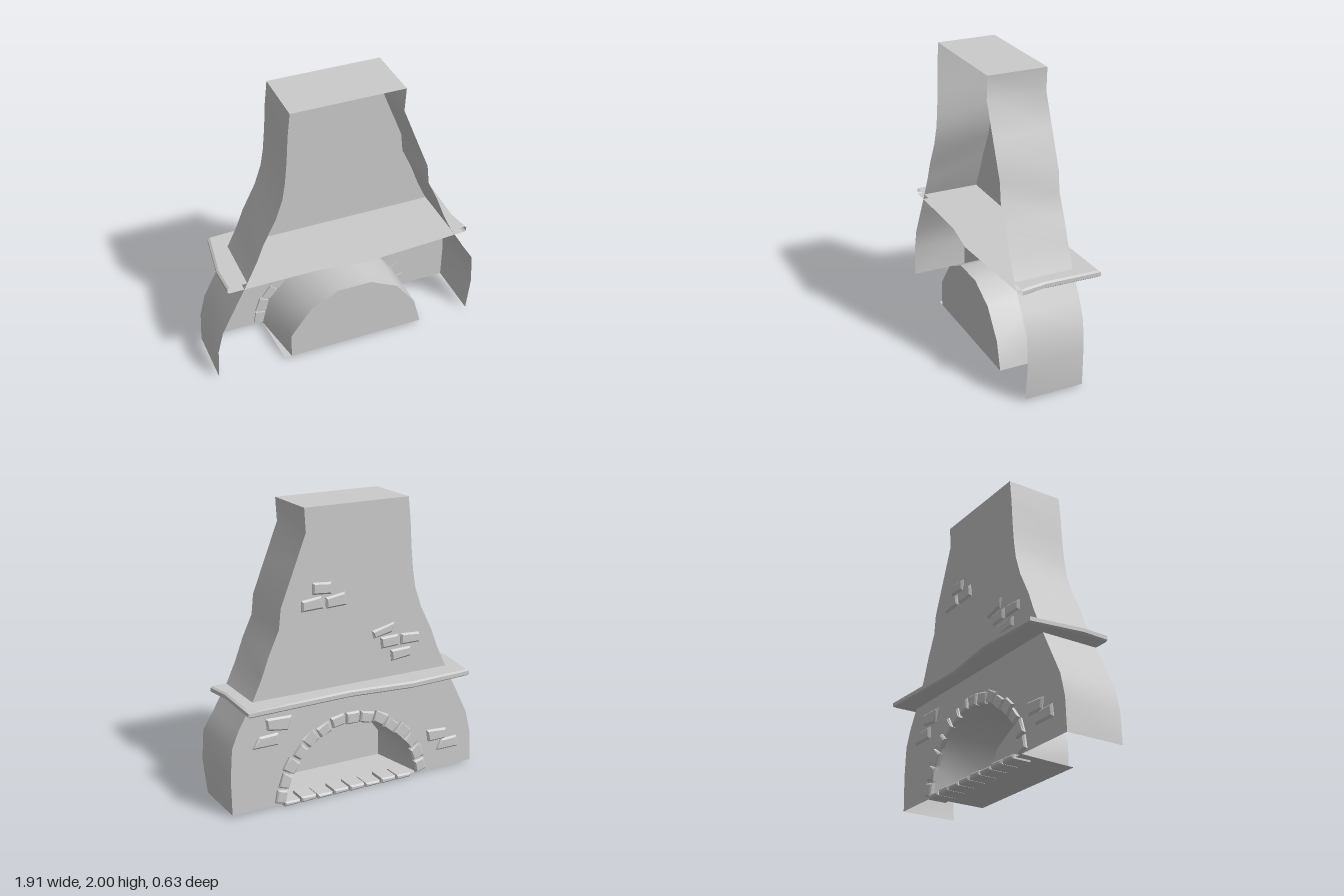
import * as THREE from 'three';
import { toCreasedNormals } from 'three/addons/utils/BufferGeometryUtils.js';

const material = new THREE.MeshStandardMaterial({ color: 0xcccccc, side: THREE.DoubleSide });
const BACK = 0.27, FRONT = -0.14, FLOOR = 0.015;

// Surface through rows of [x, y, z] points
function loft(rows, crease = 0.6) {
  const n = rows[0].length, index = [];
  for (let r = 0; r < rows.length - 1; r++) {
    for (let i = 0; i < n - 1; i++) {
      const a = r * n + i, b = a + 1, c = a + n, d = c + 1;
      index.push(a, c, b, b, c, d);
    }
  }
  const g = new THREE.BufferGeometry();
  g.setAttribute('position', new THREE.Float32BufferAttribute(rows.flat(2), 3));
  g.setIndex(index);
  return toCreasedNormals(g, crease);
}

const atZ = (pts, z) => pts.map(([x, y]) => [x, y, z]);
const flat = (pts) => new THREE.ShapeGeometry(new THREE.Shape(pts.map(([x, y]) => new THREE.Vector2(x, y))));

// Chamfered brick: an xy quad pushed from z0 out to z1
function brickGeometry(quad, z0, z1, bevel = 0.012) {
  const cx = quad.reduce((s, p) => s + p[0], 0) / 4;
  const cy = quad.reduce((s, p) => s + p[1], 0) / 4;
  const ring = [...quad, quad[0]];
  const inset = ring.map(([x, y]) => [
    x - Math.sign(x - cx) * Math.min(bevel, Math.abs(x - cx)),
    y - Math.sign(y - cy) * Math.min(bevel, Math.abs(y - cy)),
  ]);
  const middle = ring.map(() => [cx, cy]);
  return loft([atZ(middle, z0), atZ(ring, z0), atZ(ring, z1 + bevel), atZ(inset, z1), atZ(middle, z1)], 0.3);
}

export function createModel() {
  const model = new THREE.Group();
  const add = (name, geometry, parent = model) => {
    const mesh = new THREE.Mesh(geometry, material);
    mesh.name = name;
    parent.add(mesh);
    return mesh;
  };
  const addGroup = (name) => {
    const g = new THREE.Group();
    g.name = name;
    model.add(g);
    return g;
  };

  // Crooked chimney outline, up one side and down the other
  const leftSide = [[-0.96, FLOOR], [-0.95, 0.24], [-0.91, 0.4], [-0.82, 0.58], [-0.73, 0.76], [-0.65, 0.93],
    [-0.6, 1.06], [-0.51, 1.24], [-0.463, 1.38], [-0.443, 1.5], [-0.428, 1.66], [-0.417, 1.84], [-0.4, 2]];
  const rightSide = [[0.37, 2], [0.36, 1.84], [0.45, 1.61], [0.545, 1.37], [0.56, 1.23], [0.63, 1.08],
    [0.69, 0.92], [0.75, 0.79], [0.86, 0.6], [0.91, 0.48], [0.925, 0.27], [0.92, FLOOR]];
  const body = [...leftSide, ...rightSide];
  const bodyBack = body.map(([x, y]) => [x > 0.9 && y > 0.1 ? x + 0.025 : x, y]);

  // Fire opening, slightly narrower on one side at the back
  const arch = [[-0.505, FLOOR], [-0.45, 0.22], [-0.28, 0.4], [-0.08, 0.5],
    [0.16, 0.5], [0.36, 0.4], [0.5, 0.21], [0.55, FLOOR]];
  const archBack = arch.map(([x, y], i) => (i === 0 ? [-0.43, y] : i === 1 ? [-0.43, 0.2] : [x, y]));

  add('chimneySidesAndTop', loft([atZ(body, FRONT), atZ(bodyBack, BACK)], 0.5));
  add('chimneyFace', flat([...body, ...[...arch].reverse()]).rotateY(Math.PI).scale(-1, 1, 1).translate(0, 0, FRONT));
  // Restore outward winding of the mirrored face
  const face = model.children[1].geometry;
  face.scale(1, 1, 1);
  face.computeVertexNormals();

  // Firebox
  add('fireboxVault', loft([atZ(archBack, BACK), atZ(arch, FRONT)], 0.8));
  add('fireboxBackWall', flat(archBack).translate(0, 0, BACK));
  add('fireboxFloor', loft([
    [[-0.505, FLOOR, FRONT], [0.55, FLOOR, FRONT]],
    [[-0.48, FLOOR, BACK], [0.55, FLOOR, BACK]],
  ]));

  // Wavy mantel shelf with a rounded rim, open along its rear edge
  const rim = [[-0.86, BACK], [-0.87, 0.08], [-0.82, -0.29], [-0.35, -0.317], [0.1, -0.265],
    [0.855, -0.29], [0.845, 0.1], [0.873, BACK]];
  const rimAt = (y, inset) => rim.map(([x, z]) => [
    x - (Math.abs(x) > 0.5 ? Math.sign(x) * inset : 0), y, z < -0.2 ? z + inset : z]);
  const shelf = addGroup('mantelShelf');
  add('mantelRim', loft([rimAt(0.73, 0.014), rimAt(0.74, 0), rimAt(0.766, 0), rimAt(0.776, 0.014)], 0.9), shelf);
  const slab = [...rimAt(0, 0.014).map(([x, , z]) => [x, -z]), [0.1, -0.313], [-0.2, -BACK]];
  add('mantelTop', flat(slab).rotateX(-Math.PI / 2).translate(0, 0.776, 0), shelf);
  add('mantelUnderside', flat(slab.map(([x, y]) => [x, -y])).rotateX(Math.PI / 2).translate(0, 0.73, 0), shelf);

  // Scattered bricks showing through the plaster
  const wallBricks = addGroup('wallBricks');
  [
    [[0.18, 1.42], [0.32, 1.43], [0.32, 1.51], [0.18, 1.5]],
    [[0.07, 1.33], [0.22, 1.325], [0.225, 1.4], [0.08, 1.42]],
    [[0.24, 1.33], [0.4, 1.325], [0.4, 1.4], [0.255, 1.415]],
    [[-0.28, 1.09], [-0.14, 1.065], [-0.125, 1.12], [-0.3, 1.16]],
    [[-0.5, 0.99], [-0.35, 0.99], [-0.35, 1.07], [-0.5, 1.06]],
    [[-0.33, 0.99], [-0.2, 0.985], [-0.19, 1.065], [-0.33, 1.07]],
    [[-0.43, 0.9], [-0.28, 0.885], [-0.27, 0.965], [-0.43, 0.97]],
    [[0.51, 0.54], [0.66, 0.56], [0.67, 0.645], [0.48, 0.64]],
    [[0.58, 0.45], [0.77, 0.45], [0.72, 0.53], [0.58, 0.535]],
    [[-0.73, 0.23], [-0.59, 0.23], [-0.575, 0.32], [-0.74, 0.31]],
    [[-0.84, 0.15], [-0.66, 0.15], [-0.7, 0.23], [-0.83, 0.235]],
  ].forEach((quad) => add('wallBrick', brickGeometry(quad, FRONT, -0.156), wallBricks));

  // Arch stones following the opening
  const archStones = addGroup('archStones');
  const path = new THREE.SplineCurve(arch.map(([x, y]) => new THREE.Vector2(x, y)));
  const count = 15;
  for (let i = 0; i < count; i++) {
    const outer = 0.065 + 0.01 * Math.sin(i * 2.7), inner = -0.015 + 0.006 * Math.sin(i * 4.1);
    const corner = (t, d) => {
      const p = path.getPointAt(t), k = path.getTangentAt(t);
      return [p.x - k.y * d, p.y + k.x * d];
    };
    const t0 = (i + 0.06) / count, t1 = (i + 0.92) / count;
    const quad = [corner(t0, inner), corner(t1, inner), corner(t1, outer), corner(t0, outer)];
    add('archStone', brickGeometry(quad, -0.128, -0.162, 0.01), archStones);
  }

  // Row of hearth bricks along the threshold
  const hearth = addGroup('hearthBricks');
  for (let i = 0; i < 8; i++) {
    const x0 = -0.44 + i * 0.125, x1 = x0 + 0.113, y1 = 0.036 + 0.005 * Math.sin(i * 2.3);
    const quad = [[x0, 0.003], [x1, 0], [x1, y1], [x0, y1 - 0.003]];
    add('hearthBrick', brickGeometry(quad, -0.03, -0.165 - 0.006 * Math.sin(i * 3.1), 0.01), hearth);
  }
  return model;
}
